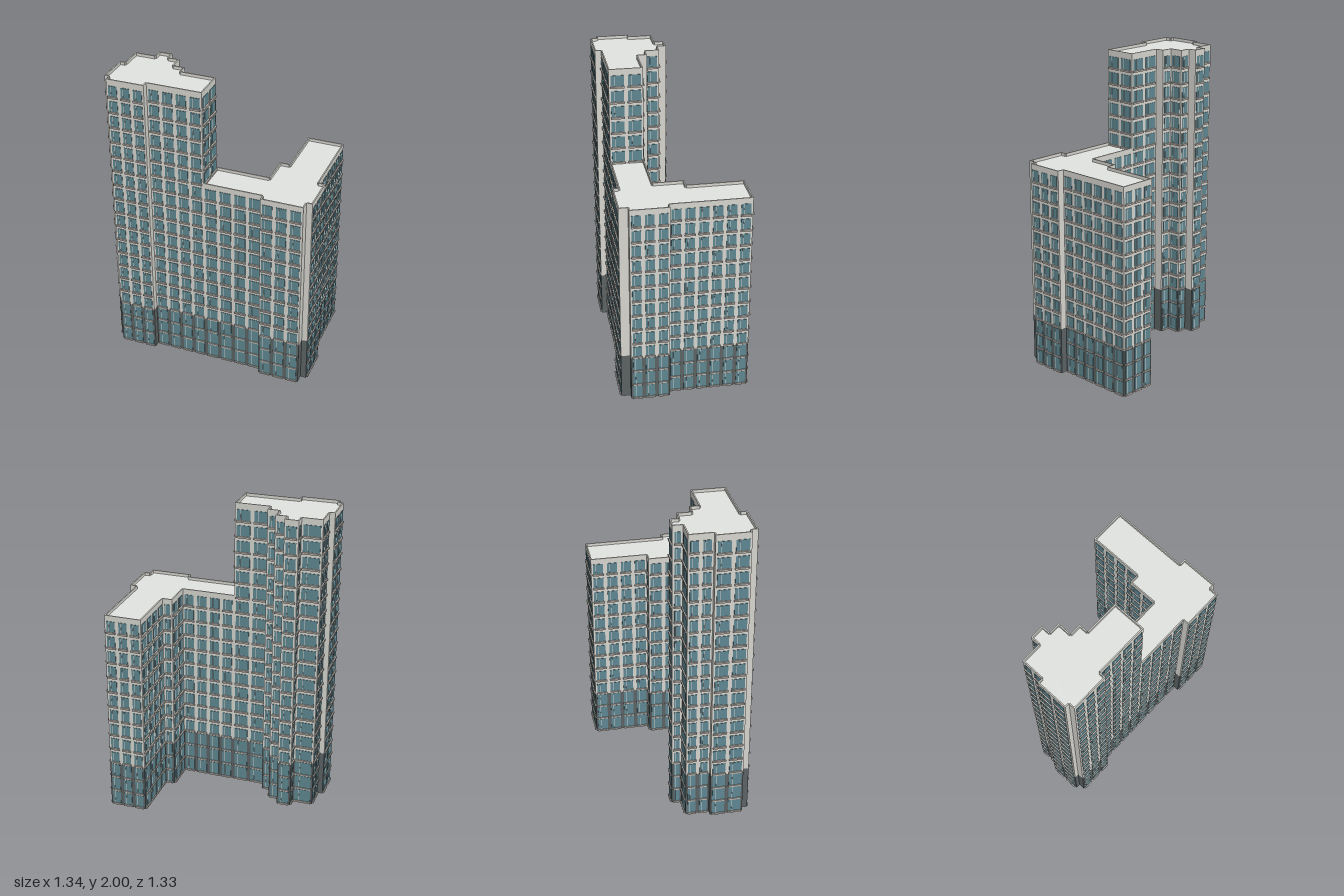
import * as THREE from 'three';
import { mergeGeometries } from 'three/addons/utils/BufferGeometryUtils.js';

const FLOOR = 0.104, BASE_FLOORS = 3;

const mat = (name, color) => {
  const m = new THREE.MeshStandardMaterial({ color });
  m.name = name;
  return m;
};

// Footprints in the building's own rotated frame: [along wing, along spine]
const LOW = [
  [-0.325, -0.124], [-0.106, -0.124], [-0.106, 0.232], [0.094, 0.232], [0.094, 0.297],
  [0.467, 0.297], [0.467, 0.54], [-0.055, 0.54], [-0.055, 0.584], [-0.306, 0.584],
  [-0.306, 0.546], [-0.366, 0.546], [-0.366, 0.268], [-0.325, 0.268],
];
const TOWER = [
  [-0.366, -0.736], [-0.324, -0.736], [-0.324, -0.766], [-0.11, -0.766], [-0.11, -0.731],
  [0.042, -0.731], [0.042, -0.596], [0.105, -0.596], [0.105, -0.505], [0.047, -0.505],
  [0.047, -0.431], [-0.045, -0.431], [-0.045, -0.355], [-0.106, -0.355], [-0.106, -0.124],
  [-0.325, -0.124], [-0.325, -0.485], [-0.366, -0.485],
];

// Solid prism over a footprint between two heights
function prism(pts, y0, y1) {
  const shape = new THREE.Shape(pts.map(([u, v]) => new THREE.Vector2(u, -v)));
  const g = new THREE.ExtrudeGeometry(shape, { depth: y1 - y0, bevelEnabled: false });
  return g.rotateX(-Math.PI / 2).translate(0, y0, 0);
}

// Walls of a footprint, each with a helper placing a box against its outside face
function edgesOf(pts) {
  return pts.map(([u, v], i) => {
    const [u2, v2] = pts[(i + 1) % pts.length];
    const du = u2 - u, dv = v2 - v;
    const angle = Math.atan2(dv, -du);
    const box = (along, y, out, w, h, d) => new THREE.BoxGeometry(w, h, d)
      .translate(along, y, out)
      .rotateY(angle)
      .translate((u + u2) / 2, 0, (v + v2) / 2);
    return { length: Math.hypot(du, dv), box };
  });
}

export function createModel() {
  const concrete = mat('concrete', 0xd6d5cf);
  const roofGrey = mat('roof grey', 0xe0e3df);
  const darkStone = mat('dark stone', 0x5c6364);
  const glass = mat('blue glass', 0x5f8792);
  const ledgeGrey = mat('ledge grey', 0xbdb7b0);

  const model = new THREE.Group();
  model.name = 'apartmentBuilding';

  function block(name, pts, floors, top, sharedEdge, sharedFloor) {
    const group = new THREE.Group();
    group.name = name;
    const add = (part, geometry, material) => {
      const mesh = new THREE.Mesh(geometry, material);
      mesh.name = part;
      group.add(mesh);
    };
    const baseTop = BASE_FLOORS * FLOOR, roofY = top - 0.02;
    add('groundSlab', prism(pts, 0, 0.004), concrete);
    add('base', prism(pts, 0.004, baseTop), darkStone);
    add('walls', prism(pts, baseTop, roofY), [roofGrey, concrete]);

    const panes = [], ledges = [], mullions = [], parapet = [];
    edgesOf(pts).forEach(({ length, box }, i) => {
      const firstFloor = i === sharedEdge ? sharedFloor : 0;
      if (firstFloor >= floors) return;
      parapet.push(box(0, (roofY + top) / 2, -0.004, length, top - roofY, 0.008));
      // Short returns stay blank
      if (length < 0.0625) return;

      const bays = Math.max(1, Math.round(length / 0.093));
      const pitch = length / bays, width = pitch - 0.026;
      for (let f = firstFloor; f < floors; f++) {
        const y = f * FLOOR, inBase = f < BASE_FLOORS;
        const low = inBase ? 0.008 : 0.016, high = inBase ? 0.1 : 0.086;
        const mid = y + (low + high) / 2, h = high - low;
        for (let b = 0; b < bays; b++) {
          const x = (b + 0.5) * pitch - length / 2;
          panes.push(box(x, mid, 0.001, width, h, 0.004));
          mullions.push(box(x - width * 0.22, mid, 0.003, 0.003, h, 0.003));
          ledges.push(box(x, y + 0.007, 0.004, width + 0.006, 0.011, 0.012));
        }
      }
    });
    add('windows', mergeGeometries(panes), glass);
    add('windowMullions', mergeGeometries(mullions), concrete);
    add('windowLedges', mergeGeometries(ledges), ledgeGrey);
    add('parapet', mergeGeometries(parapet), concrete);
    model.add(group);
  }

  // The two blocks meet along one wall, exposed only above the lower roof
  block('lowWing', LOW, 13, 1.372, 0, 13);
  block('tower', TOWER, 19, 2, 14, 13);

  model.rotation.y = THREE.MathUtils.degToRad(28);
  const root = new THREE.Group();
  root.name = 'building';
  root.add(model);
  return root;
}
